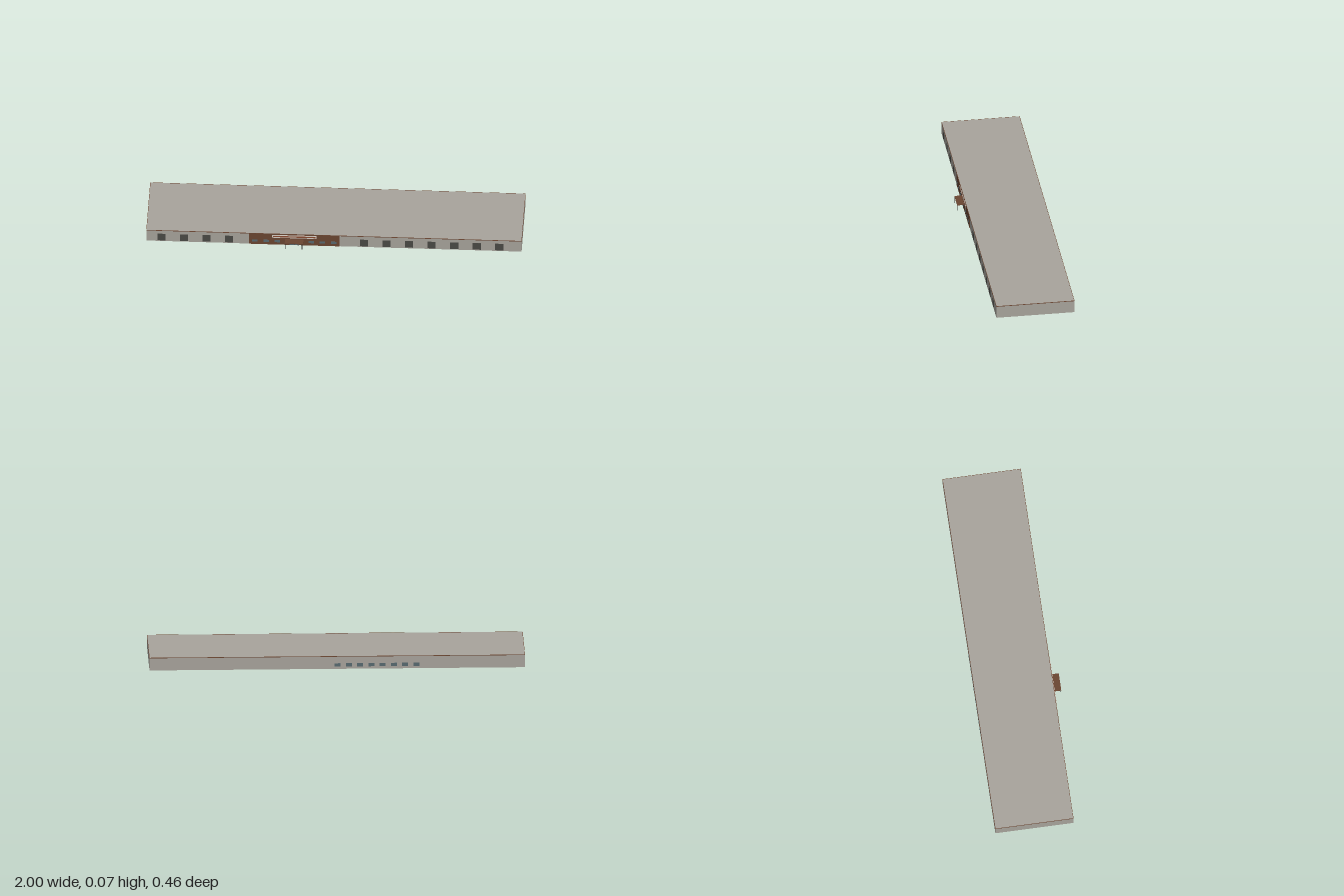
import * as THREE from 'three';

const mat = (name, color) => {
  const m = new THREE.MeshStandardMaterial({ color });
  m.name = name;
  return m;
};

export function createModel() {
  const model = new THREE.Group();
  model.name = 'longBuilding';

  const wall = mat('warm grey wall', 0xa8a49c);
  wall.side = THREE.DoubleSide;
  const brown = mat('brown cladding', 0x6b4632);
  const dark = mat('dark grey door', 0x4a4a45);
  const glass = mat('blue grey glass', 0x586a70);
  const pale = mat('pale sign border', 0xd8d0c6);
  const rust = mat('rust sign face', 0x8a4a30);
  const steel = mat('dark steel', 0x383634);

  const H = 0.07, FRONT = 0.19, BACK = -0.229, W = 1.998;

  // Box given by its centre and size
  const box = (name, material, x, y, z, w, h, d, parent = model) => {
    const mesh = new THREE.Mesh(new THREE.BoxGeometry(w, h, d), material);
    mesh.position.set(x, y, z);
    mesh.name = name;
    parent.add(mesh);
    return mesh;
  };

  // Hall shell: walls and roof, open underneath
  const depth = FRONT - BACK, mid = (FRONT + BACK) / 2;
  const shell = box('hallShell', wall, 0, H / 2, mid, W, H, depth);
  const index = Array.from(shell.geometry.index.array);
  index.splice(18, 6);
  shell.geometry.setIndex(index);
  shell.geometry.clearGroups();

  // Thin trim around the roof edge
  const trim = new THREE.Group();
  trim.name = 'roofTrim';
  model.add(trim);
  for (const z of [FRONT, BACK])
    box('longTrim', brown, 0, H - 0.001, z, 2, 0.003, 0.002, trim);
  for (const x of [-W / 2, W / 2])
    box('endTrim', brown, x, H - 0.001, mid, 0.002, 0.003, depth, trim);

  // Loading doors along the front, skipping the entrance bay
  for (let i = 0; i < 16; i++) {
    const x = -0.92 + i * 0.12;
    if (x > -0.5 && x < 0.1) continue;
    box('loadingDoor', dark, x, 0.0265, FRONT, 0.043, 0.043, 0.002);
  }

  // Entrance bay cladding
  const bayX = -0.212;
  box('entranceCladding', brown, bayX, 0.0355, FRONT + 0.0005, 0.48, 0.071, 0.002);

  // Small windows: eight at the back, six beside the entrance
  for (let i = 0; i < 8; i++) {
    const x = bayX + (i - 3.5) * 0.06;
    box('backWindow', glass, x, 0.022, BACK, 0.032, 0.018, 0.002);
    if (Math.abs(x - bayX) > 0.06)
      box('frontWindow', glass, x, 0.023, FRONT + 0.001, 0.03, 0.014, 0.003);
  }
  // Paired entrance doors
  for (const s of [-1, 1])
    box('entranceDoor', glass, bayX + s * 0.014, 0.015, FRONT + 0.001, 0.025, 0.03, 0.003);

  // Blank sign board with pale border
  box('signBorder', pale, bayX, 0.055, FRONT + 0.002, 0.238, 0.018, 0.003);
  box('signFace', rust, bayX, 0.055, FRONT + 0.0025, 0.226, 0.008, 0.003);

  // Canopy on two posts
  box('canopy', brown, bayX, 0.0365, FRONT + 0.02, 0.098, 0.003, 0.04);
  for (const s of [-1, 1])
    box('canopyPost', steel, bayX + s * 0.043, 0.0175, FRONT + 0.0385, 0.003, 0.035, 0.003);

  return model;
}
